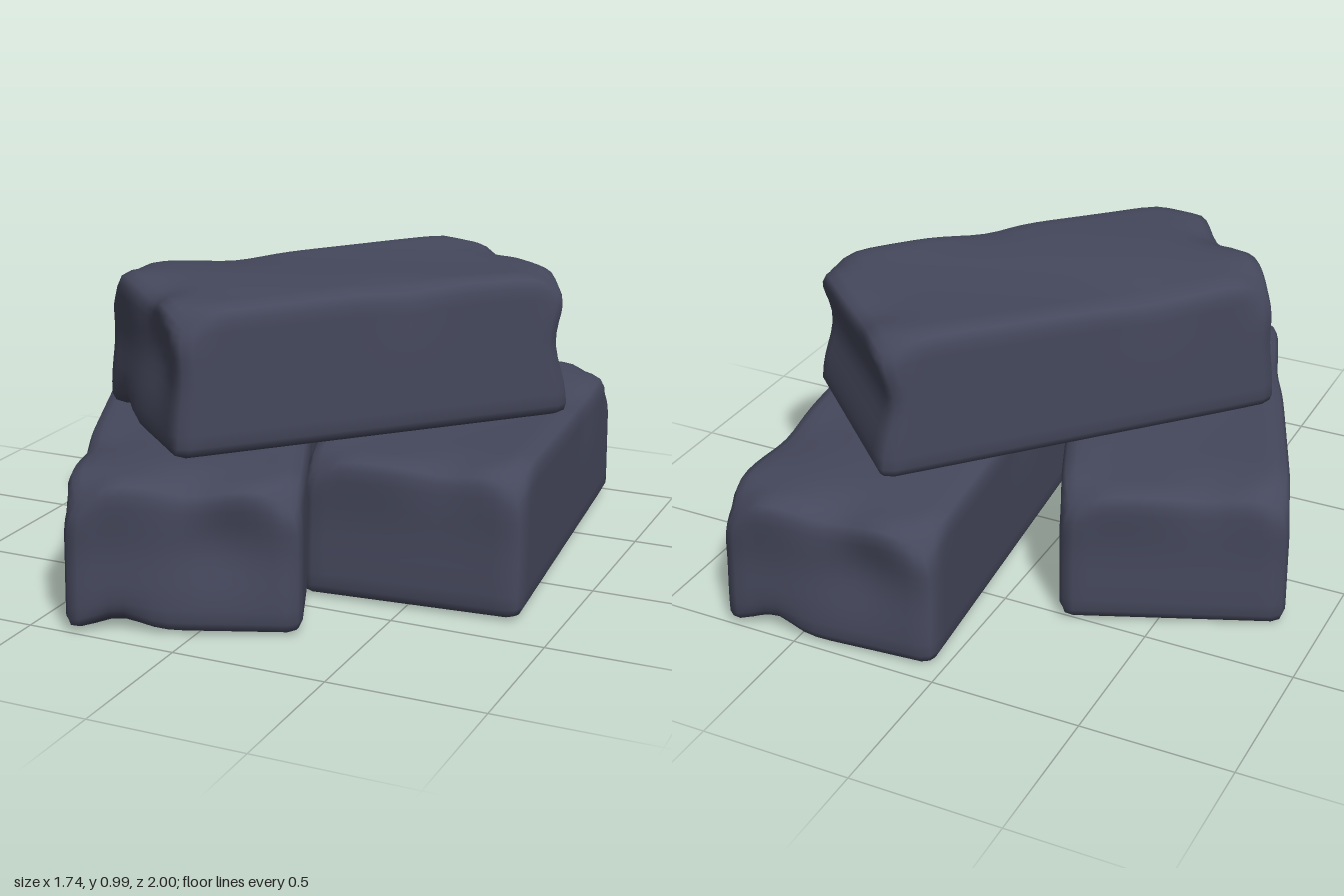
import * as THREE from 'three';
import { mergeVertices } from 'three/addons/utils/BufferGeometryUtils.js';

const W = 0.73, H = 0.485, L = 1.38, R = 0.045;

const bump = (d, r) => Math.exp(-(d * d) / (r * r));

// Chips and dents shared by every brick: [x, y, z, radius, push x, push y, push z]
const dents = [
  [-0.36, 0.24, 0.69, 0.1, 0.03, -0.06, -0.03],
  [0.36, 0.24, 0.69, 0.09, -0.03, -0.05, -0.03],
  [-0.36, 0.24, -0.69, 0.09, 0.02, -0.05, 0.02],
  [0.36, 0.24, -0.69, 0.09, -0.02, -0.06, 0.02],
  [0.02, 0.24, 0.69, 0.12, 0, -0.04, -0.03],
  [-0.2, -0.24, 0.69, 0.09, 0, 0.04, -0.02],
  [0.12, 0.05, 0.69, 0.14, 0, 0, -0.03],
  [-0.12, 0.24, -0.69, 0.13, 0, -0.03, 0.02],
  [0.36, 0.22, -0.1, 0.12, -0.01, -0.015, 0],
  [-0.36, 0.22, 0.25, 0.14, 0.01, -0.015, 0],
];

// Worn brick: rounded edges, dented corners, grooves across the two ends
function brickGeometry(frontGroove, backGroove) {
  let g = new THREE.BoxGeometry(W, H, L, 16, 12, 28);
  g.deleteAttribute('uv');
  g.deleteAttribute('normal');
  g = mergeVertices(g);
  const pos = g.attributes.position;
  const inner = new THREE.Vector3(W / 2 - R, H / 2 - R, L / 2 - R);
  const low = inner.clone().negate();
  const p = new THREE.Vector3(), c = new THREE.Vector3();
  for (let i = 0; i < pos.count; i++) {
    p.fromBufferAttribute(pos, i);
    c.copy(p).clamp(low, inner);
    p.sub(c).setLength(R).add(c);
    const { x, y, z } = p;
    for (const [dx, dy, dz, r, px, py, pz] of dents) {
      const w = bump(Math.hypot(x - dx, y - dy, z - dz), r);
      p.x += px * w;
      p.y += py * w;
      p.z += pz * w;
    }
    // Horizontal groove below the top lip of each end
    const end = THREE.MathUtils.smoothstep(Math.abs(z), 0.45, 0.68);
    const depth = z > 0 ? frontGroove : backGroove;
    p.z -= Math.sign(z) * end * depth * bump(y - 0.02, 0.13);
    // Gently uneven top
    if (y > 0.1) p.y += 0.007 * Math.sin(x * 7 + z * 4) * (y / (H / 2));
    pos.setXYZ(i, p.x, p.y, p.z);
  }
  g.computeVertexNormals();
  return g;
}

export function createModel() {
  const model = new THREE.Group();
  const material = new THREE.MeshStandardMaterial({ color: 0x45485c });

  const bricks = [
    { name: 'lowerLeftBrick', x: -0.29, y: 0, z: 0.24, turn: 0.386, front: 0.015, back: 0.01 },
    { name: 'lowerRightBrick', x: 0.45, y: 0, z: -0.29, turn: 0.088 + Math.PI, front: 0.015, back: 0.01 },
    { name: 'topBrick', x: 0.09, y: 0.5, z: -0.005, turn: -0.756, front: 0.02, back: 0.05 },
  ];
  for (const b of bricks) {
    const mesh = new THREE.Mesh(brickGeometry(b.front, b.back), material);
    mesh.name = b.name;
    mesh.position.set(b.x, b.y + H / 2, b.z);
    mesh.rotation.y = b.turn;
    model.add(mesh);
  }
  return model;
}
